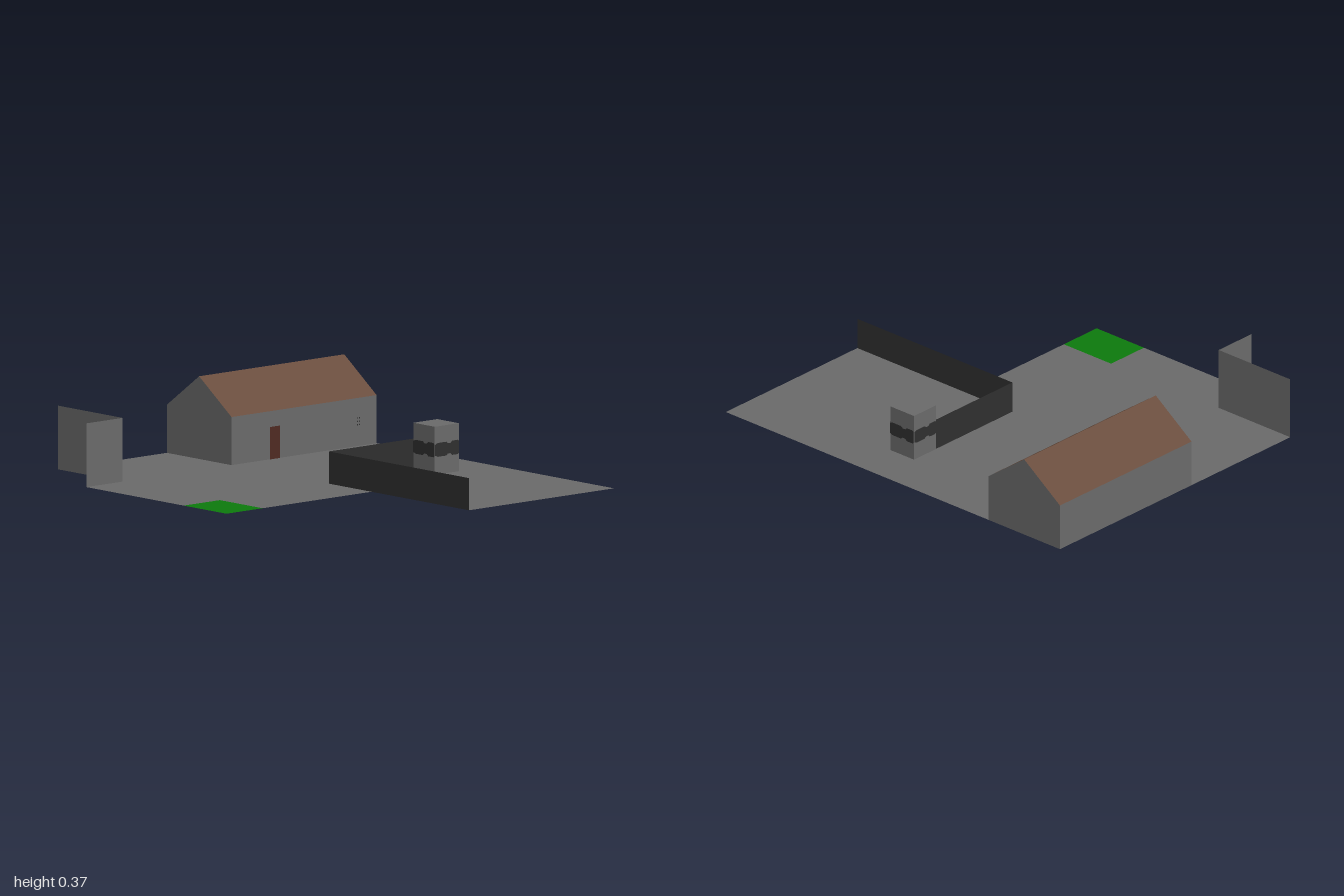
import * as THREE from 'three';

const material = (name, color) => {
  const m = new THREE.MeshStandardMaterial({ color, side: THREE.DoubleSide });
  m.name = name;
  return m;
};

export function createModel() {
  const stone = material('grey stone', 0x6a6a6a);
  const dark = material('dark wall', 0x2f2f2f);
  const tile = material('brown roof', 0x694d3e);
  const grass = material('green grass', 0x0d7a0d);
  const wood = material('dark wood', 0x4f2a22);
  const model = new THREE.Group();
  model.name = 'farmyard';

  const add = (parent, name, geometry, mat) => {
    const mesh = new THREE.Mesh(geometry, mat);
    mesh.name = name;
    parent.add(mesh);
    return mesh;
  };
  const outline = (points) => new THREE.Shape(points.map(([x, y]) => new THREE.Vector2(x, y)));

  // Flat area on the ground from [x, z] points
  const area = (name, points, mat) => {
    const shape = outline(points.map(([x, z]) => [x, -z]));
    return add(model, name, new THREE.ShapeGeometry(shape).rotateX(-Math.PI / 2), mat);
  };

  // Four-cornered sheet, corners counterclockwise from its outside
  const sheet = (parent, name, corners, mat) => {
    const g = new THREE.BufferGeometry();
    g.setAttribute('position', new THREE.Float32BufferAttribute(corners.flat(), 3));
    g.setIndex([0, 1, 2, 0, 2, 3]);
    g.computeVertexNormals();
    return add(parent, name, g, mat);
  };
  // Upright sheet between two ground points
  const wall = (parent, name, [x0, z0], [x1, z1], height, mat, base = 0) =>
    sheet(parent, name, [[x0, base, z0], [x1, base, z1], [x1, height, z1], [x0, height, z0]], mat);

  // Yard around the house, with a grass corner
  const L = -1, R = -0.572, back = -0.857, front = 0.857, step = 0.643;
  const eave = 0.215, ridge = 0.37, mid = (L + R) / 2;
  area('yard', [
    [L, 0], [R, 0], [R, back], [1, back], [1, 0], [0.355, 0],
    [0.355, step], [0.072, step], [0.072, front], [R, front], [R, step], [L, step],
  ], stone);
  area('grass', [[0.072, step], [0.355, step], [0.355, front], [0.072, front]], grass);
  area('houseFloor', [[L, back], [R, back], [R, 0], [L, 0]], tile);

  // Gabled house
  const house = new THREE.Group();
  house.name = 'house';
  model.add(house);
  const gable = [[L, 0], [R, 0], [R, eave], [mid, ridge], [L, eave]];
  add(house, 'frontGable', new THREE.ShapeGeometry(outline(gable)), stone);
  const rear = outline(gable.map(([x, y]) => [-x, y]));
  add(house, 'backGable', new THREE.ShapeGeometry(rear).rotateY(Math.PI), stone).position.z = back;
  wall(house, 'yardSideWall', [R, 0], [R, back], eave, stone);
  wall(house, 'outerSideWall', [L, back], [L, 0], eave, stone);
  sheet(house, 'yardSideRoof', [[R, eave, 0], [R, eave, back], [mid, ridge, back], [mid, ridge, 0]], tile);
  sheet(house, 'outerSideRoof', [[L, eave, back], [L, eave, 0], [mid, ridge, 0], [mid, ridge, back]], tile);
  wall(house, 'door', [R + 0.003, -0.225], [R + 0.003, -0.285], 0.145, wood);

  // Small dark marks on the house wall
  for (const z of [-0.739, -0.751]) {
    for (const y of [0.093, 0.108, 0.123]) {
      wall(house, 'wallMark', [R + 0.003, z], [R + 0.003, z - 0.005], y + 0.006, dark, y);
    }
  }

  // Free-standing corner walls at the front
  wall(model, 'frontCornerWall', [L, step], [R, step], 0.285, stone);
  wall(model, 'sideCornerWall', [R, step], [R, front], 0.285, stone);

  // Low dark enclosure
  wall(model, 'longLowWall', [0.072, 0], [1, 0], 0.144, dark);
  wall(model, 'shortLowWall', [0.072, -0.5], [0.072, 0], 0.144, dark);

  // Lookout tower with a dark opening on every side
  const tower = new THREE.Group();
  tower.name = 'tower';
  tower.position.set(0.142, 0, -0.571);
  model.add(tower);
  const size = 0.142;
  add(tower, 'towerBody', new THREE.BoxGeometry(size, 0.215, size).translate(0, 0.1075, 0), stone);
  const profile = [
    [-0.071, 0.024], [-0.055, 0.031], [-0.005, 0.031], [0.005, 0.023],
    [0.02, 0.023], [0.03, 0.032], [0.064, 0.032], [0.071, 0.026],
  ];
  const band = outline([...profile, ...profile.map(([x, y]) => [x, -y]).reverse()]);
  for (let i = 0; i < 4; i++) {
    const g = new THREE.ShapeGeometry(band).translate(0, 0.11, size / 2 + 0.002);
    add(tower, 'towerOpening', g.rotateY(i * Math.PI / 2), dark);
  }
  return model;
}
